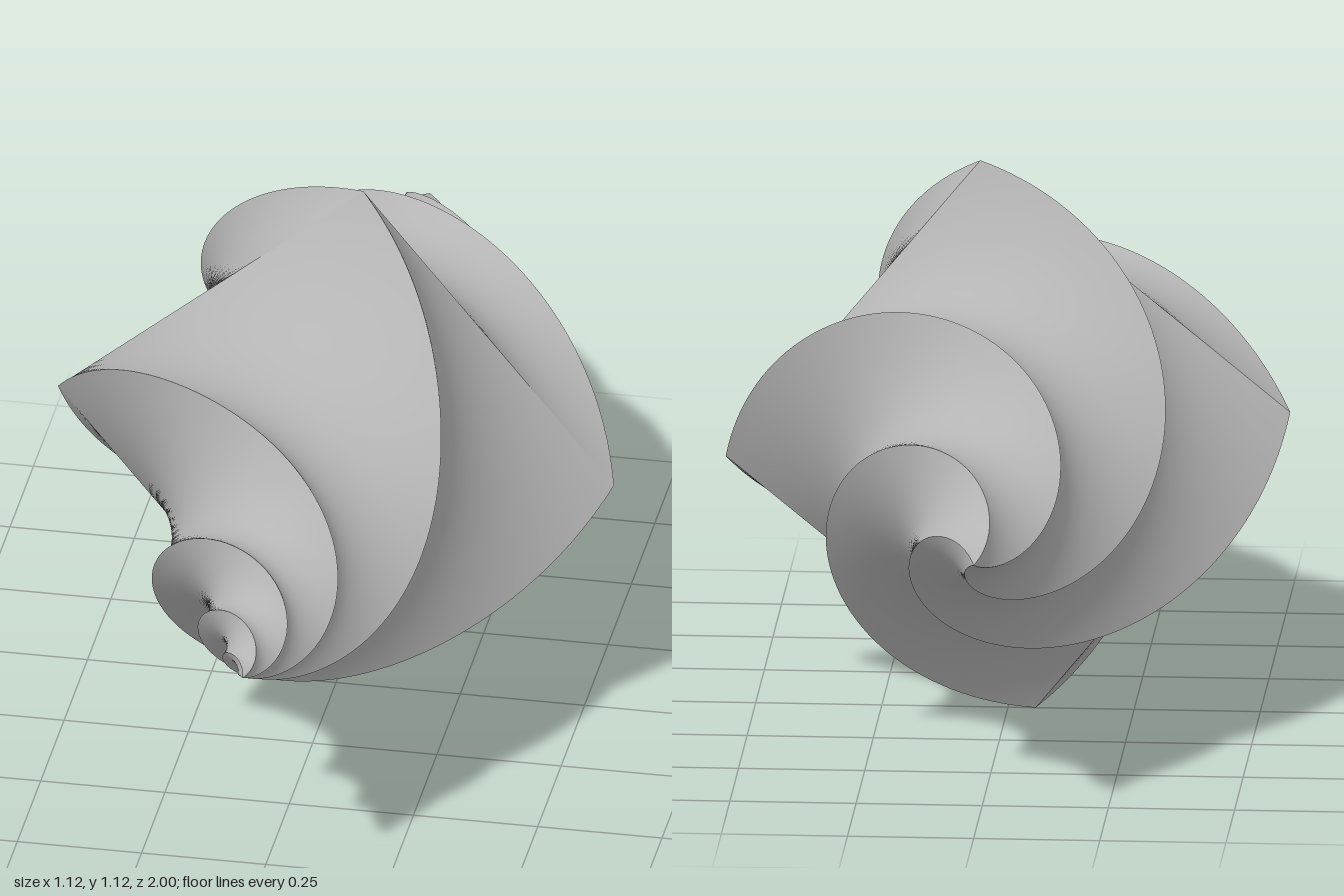
import * as THREE from 'three';

const RADIUS = 0.562;   // corner radius of the square waist
const CENTRE_Y = 0.56;
const PHASE = -5.6;     // corner angle at the waist, degrees
const ACROSS = 20, ALONG = 90;

// Corner angle in degrees at depth z: tightens toward both tips
function twist(z) {
  return z > 0
    ? PHASE - 115 * z - 238 * z ** 4
    : PHASE - 190 * z + 50 * z * z;
}

// One twisted face: a straight-sided strip between two neighbouring ridges
function twistedFace(side, z0, z1) {
  const positions = [], index = [];
  for (let j = 0; j <= ALONG; j++) {
    const z = z0 + (z1 - z0) * j / ALONG;
    const r = RADIUS * (1 - Math.abs(z));
    const a = THREE.MathUtils.degToRad(twist(z) + side * 90);
    const b = a + Math.PI / 2;
    for (let i = 0; i <= ACROSS; i++) {
      const t = i / ACROSS;
      positions.push(
        r * THREE.MathUtils.lerp(Math.cos(a), Math.cos(b), t),
        r * THREE.MathUtils.lerp(Math.sin(a), Math.sin(b), t),
        z
      );
    }
  }
  const row = ACROSS + 1;
  for (let j = 0; j < ALONG; j++) {
    for (let i = 0; i < ACROSS; i++) {
      const p = j * row + i;
      index.push(p, p + 1, p + row, p + 1, p + row + 1, p + row);
    }
  }
  const geometry = new THREE.BufferGeometry();
  geometry.setAttribute('position', new THREE.Float32BufferAttribute(positions, 3));
  geometry.setIndex(index);
  geometry.computeVertexNormals();
  return geometry;
}

export function createModel() {
  const model = new THREE.Group();
  model.name = 'twistedOctahedron';
  const grey = new THREE.MeshStandardMaterial({ color: 0xb4b4b4 });
  grey.name = 'grey';

  // Four spiral faces on each half, meeting at sharp ridges
  for (const [name, z0, z1] of [['backSpire', -1, 0], ['frontSpire', 0, 1]]) {
    const half = new THREE.Group();
    half.name = name;
    for (let side = 0; side < 4; side++) {
      const face = new THREE.Mesh(twistedFace(side, z0, z1), grey);
      face.name = 'spiralFace';
      half.add(face);
    }
    half.position.y = CENTRE_Y;
    model.add(half);
  }
  return model;
}
